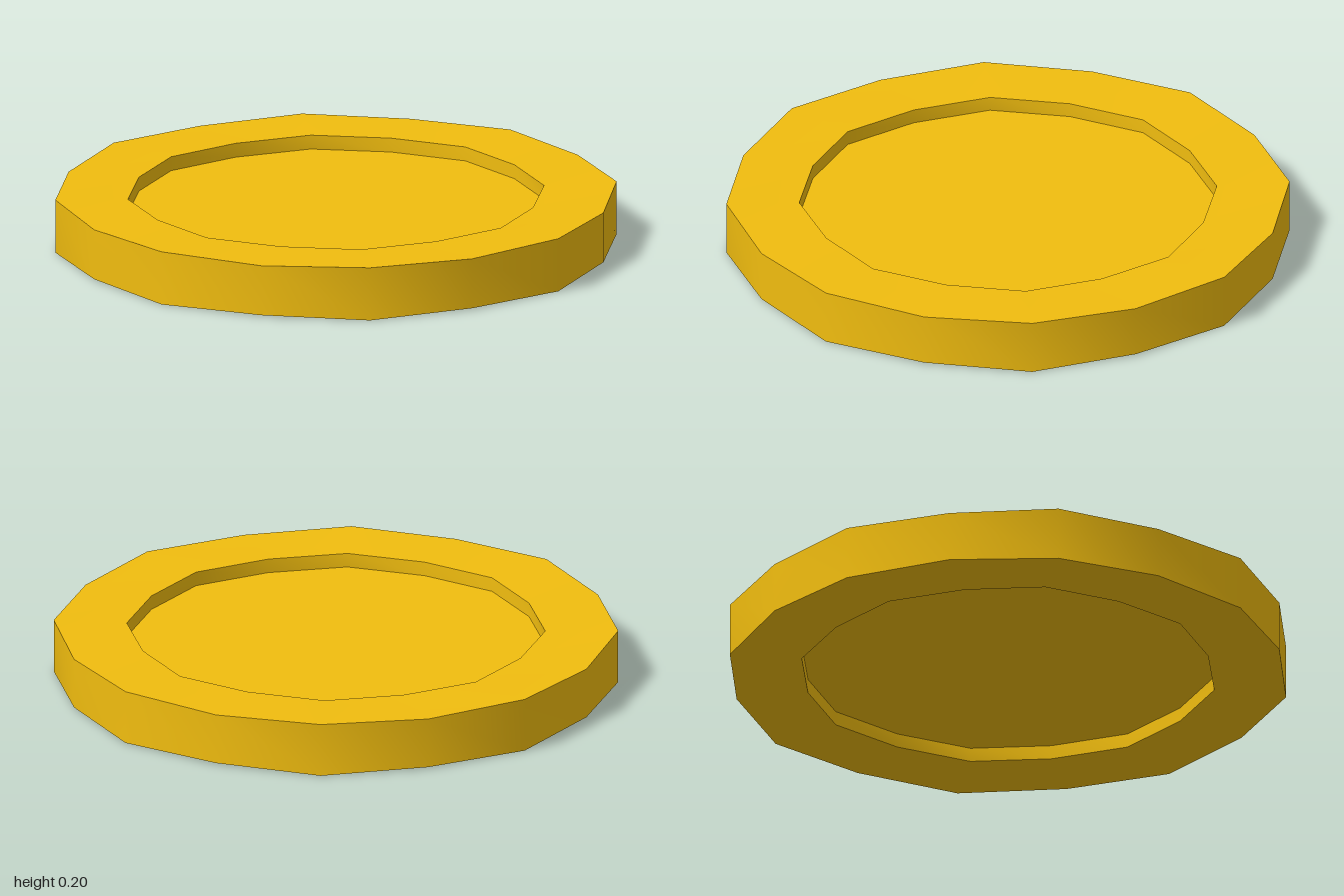
import * as THREE from 'three';
import { toCreasedNormals } from 'three/addons/utils/BufferGeometryUtils.js';

const SIDES = 16;

export function createModel() {
  const group = new THREE.Group();
  group.name = 'coin';

  // Half section, from the centre of the underside round the rim to the centre of the top
  const profile = [
    [0, 0.058], [0.737, 0.058], [0.737, 0.006], [1, 0.006],
    [1, 0.191], [0.737, 0.191], [0.737, 0.139], [0, 0.139],
  ].map(([r, y]) => new THREE.Vector2(r, y));
  const lathe = new THREE.LatheGeometry(profile, SIDES);

  // Every other corner bulges slightly outwards, and the outer rim also thickens there
  const pos = lathe.attributes.position;
  for (let i = 0; i < pos.count; i++) {
    const column = Math.floor(i / profile.length);
    const row = i % profile.length;
    if (column % 2 === 0) continue;
    const bulge = profile[row].x > 0.9 ? 1.018 : 1.024;
    pos.setX(i, pos.getX(i) * bulge);
    pos.setZ(i, pos.getZ(i) * bulge);
    if (row === 3) pos.setY(i, 0);
    if (row === 4) pos.setY(i, 0.197);
  }

  // Smooth round the walls, sharp at the rim edges
  const body = new THREE.Mesh(
    toCreasedNormals(lathe, 0.8),
    new THREE.MeshStandardMaterial({ color: 0xf1bd0f }),
  );
  body.name = 'coinBody';
  group.add(body);
  return group;
}
